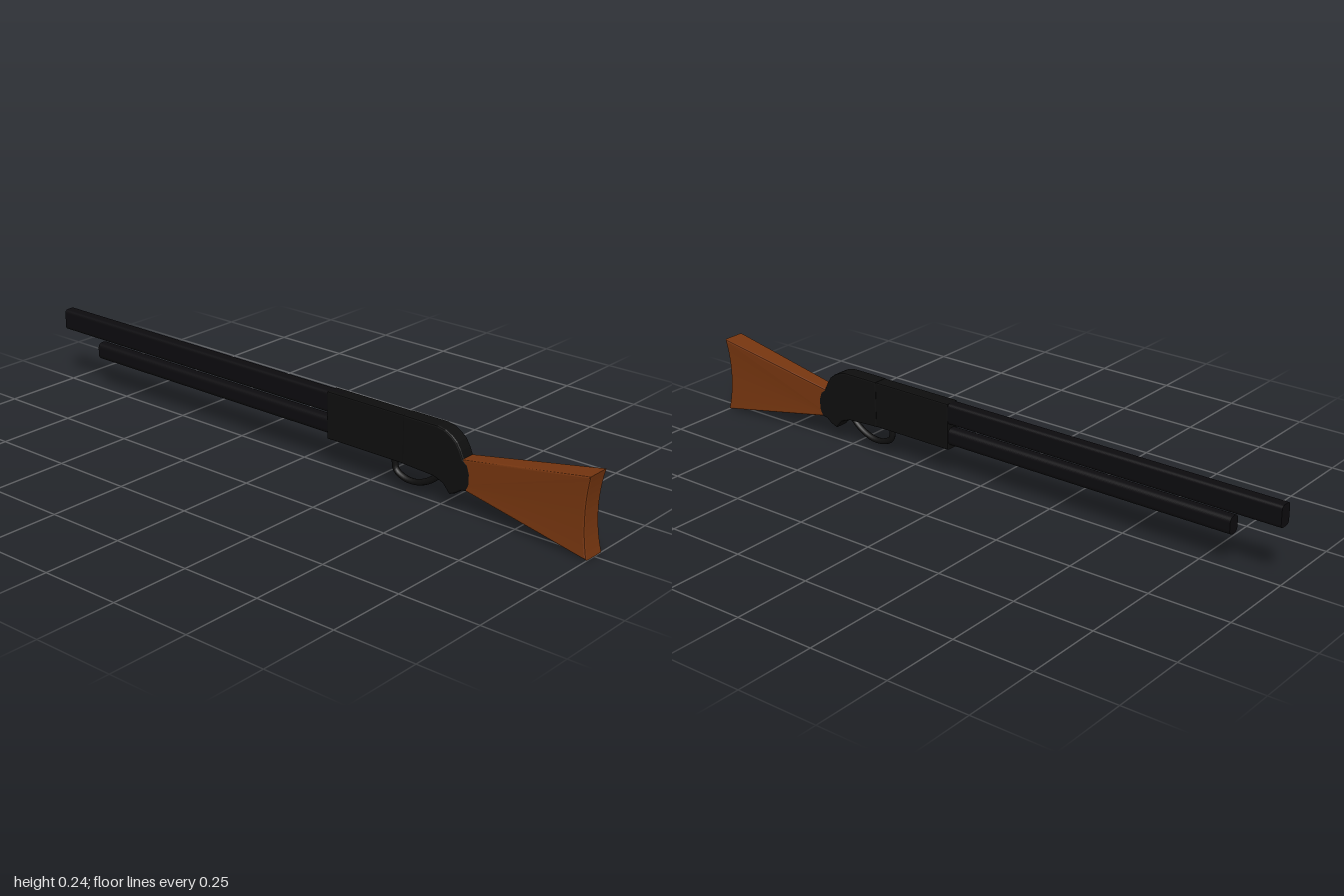
import * as THREE from 'three';

// Side profile of [z, y] points, extruded across x with softened edges
function sideExtrude(shape, width, bevel) {
  const geo = new THREE.ExtrudeGeometry(shape, {
    depth: width - 2 * bevel, bevelEnabled: true, bevelThickness: bevel,
    bevelSize: bevel, bevelOffset: -bevel, bevelSegments: 2, curveSegments: 12,
  });
  geo.translate(0, 0, -(width - 2 * bevel) / 2);
  geo.rotateY(-Math.PI / 2);
  return geo;
}

const polygon = (points) => new THREE.Shape(points.map(([z, y]) => new THREE.Vector2(z, y)));

// Rounded rectangular bar running along z
function bar(width, y0, y1, z0, z1, r) {
  const w = width / 2;
  const s = new THREE.Shape();
  s.moveTo(-w + r, y0);
  s.lineTo(w - r, y0);
  s.absarc(w - r, y0 + r, r, -Math.PI / 2, 0);
  s.absarc(w - r, y1 - r, r, 0, Math.PI / 2);
  s.absarc(-w + r, y1 - r, r, Math.PI / 2, Math.PI);
  s.absarc(-w + r, y0 + r, r, Math.PI, Math.PI * 1.5);
  const geo = new THREE.ExtrudeGeometry(s, { depth: z1 - z0, bevelEnabled: false, curveSegments: 4 });
  geo.translate(0, 0, z0);
  return geo;
}

export function createModel() {
  const group = new THREE.Group();
  const wood = new THREE.MeshStandardMaterial({ color: 0x75350f });
  const steel = new THREE.MeshStandardMaterial({ color: 0x0e0e0e });
  const darkSteel = new THREE.MeshStandardMaterial({ color: 0x0c0b0e });

  const add = (name, geo, material) => {
    const mesh = new THREE.Mesh(geo, material);
    mesh.name = name;
    group.add(mesh);
    return mesh;
  };

  // Barrel and the shorter tube below it
  add('barrel', bar(0.041, 0.175, 0.241, -1, 0.15, 0.011), darkSteel);
  add('magazineTube', bar(0.04, 0.108, 0.162, -0.85, 0.15, 0.016), darkSteel);

  // Receiver: straight front block and wider, curved rear block
  add('receiverFront', sideExtrude(polygon([
    [0.105, 0.096], [0.40, 0.096], [0.40, 0.241], [0.105, 0.241],
  ]), 0.045, 0.004), steel);
  add('receiverRear', sideExtrude(polygon([
    [0.38, 0.096], [0.49, 0.09], [0.522, 0.078], [0.545, 0.052], [0.565, 0.06],
    [0.583, 0.073], [0.602, 0.077], [0.613, 0.098], [0.614, 0.13], [0.606, 0.155],
    [0.588, 0.168], [0.578, 0.19], [0.566, 0.21], [0.548, 0.225],
    [0.525, 0.237], [0.5, 0.242], [0.38, 0.242],
  ]), 0.049, 0.005), steel);

  // Trigger guard loop
  const guardPath = new THREE.CatmullRomCurve3([
    [0.10, 0.50], [0.08, 0.485], [0.055, 0.45], [0.042, 0.41],
    [0.045, 0.37], [0.062, 0.342], [0.10, 0.337],
  ].map(([y, z]) => new THREE.Vector3(0, y, z)));
  add('triggerGuard', new THREE.TubeGeometry(guardPath, 28, 0.0095, 8, false), steel);

  // Stock: flaring profile with a concave butt
  const stockShape = new THREE.Shape();
  stockShape.moveTo(0.57, 0.082);
  stockShape.lineTo(1, 0.002);
  stockShape.quadraticCurveTo(0.972, 0.12, 1, 0.24);
  stockShape.lineTo(0.57, 0.165);
  const stock = sideExtrude(stockShape, 0.076, 0.006);

  // Narrow the stock toward the receiver and slightly at mid height
  const p = stock.attributes.position;
  for (let i = 0; i < p.count; i++) {
    const t = (p.getZ(i) - 0.57) / 0.43;
    const half = 0.042 + 0.077 * t;
    const v = Math.min(1, Math.abs(p.getY(i) - 0.121) / half);
    p.setX(i, p.getX(i) * (0.62 + 0.38 * t) * (0.9 + 0.1 * v * v));
  }
  stock.computeVertexNormals();
  add('stock', stock, wood);

  return group;
}
